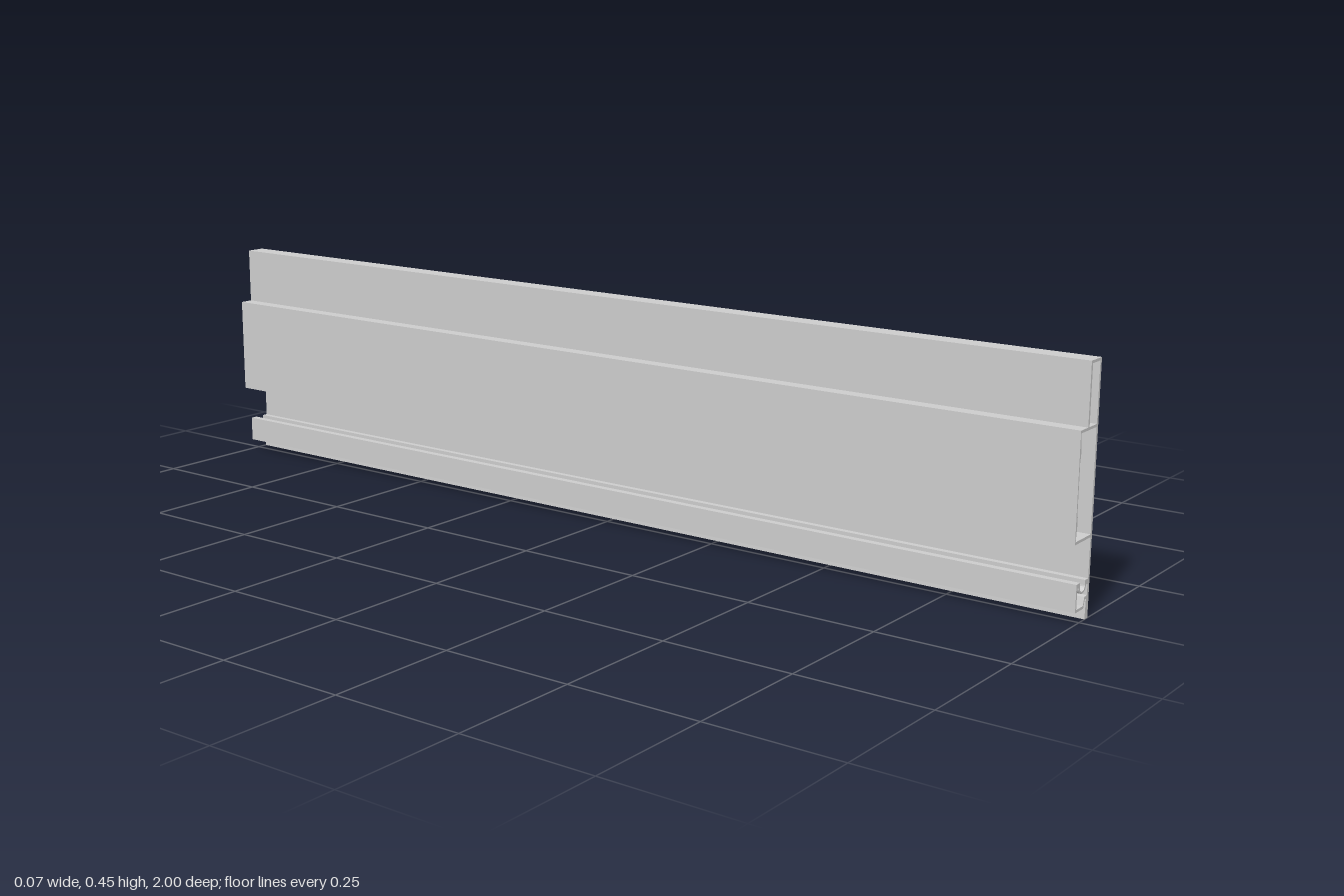
import * as THREE from 'three';

const LENGTH = 2;
const toPoints = (list) => list.map(([x, y]) => new THREE.Vector2(x, y));

// Points along a shallow U, from left rim to right rim
function trough(cx, rimY, halfWidth, depth, steps = 10) {
  const pts = [];
  for (let i = 0; i <= steps; i++) {
    const a = Math.PI * (1 - i / steps);
    pts.push([cx + halfWidth * Math.cos(a), rimY - depth * Math.sin(a)]);
  }
  return pts;
}

export function createModel() {
  const group = new THREE.Group();
  group.name = 'extrudedRail';

  // Outer contour: face plate, upper box, wide box, grooved clip and foot
  const profile = new THREE.Shape(toPoints([
    [0.033, 0], [0.033, 0.45], [-0.006, 0.45], [-0.006, 0.338],
    [-0.033, 0.338], [-0.033, 0.143], [0.0275, 0.143], [0.0275, 0.071],
    [0.016, 0.071],
    ...trough(0.006, 0.062, 0.01, 0.009).reverse(),
    [-0.004, 0.071], [-0.018, 0.071], [-0.018, 0.021],
    [0.014, 0.021], [0.018, 0.036], [0.023, 0.036], [0.021, 0],
  ]));

  // Hollow chambers
  const upperChamber = [[-0.001, 0.338], [0.0275, 0.338], [0.0275, 0.445], [-0.001, 0.445]];

  // Wide chamber, its back wall thickened by a mirrored pair of ribs
  const midY = 0.2405;
  const ribs = [[-0.031, 0.0925], [-0.028, 0.068], [-0.028, 0.05], [-0.03, 0.047]];
  const wideChamber = [
    ...ribs.map(([x, d]) => [x, midY + d]),
    ...ribs.map(([x, d]) => [x, midY - d]).reverse(),
    [0.0275, 0.148], [0.0275, 0.333],
  ];

  const clipChamber = [
    [-0.014, 0.064],
    ...trough(0.006, 0.062, 0.014, 0.0125),
    [0.026, 0.062], [0.026, 0.042], [0.016, 0.041], [0.012, 0.026], [-0.014, 0.026],
  ];

  for (const chamber of [upperChamber, wideChamber, clipChamber]) {
    profile.holes.push(new THREE.Path(toPoints(chamber)));
  }

  const geometry = new THREE.ExtrudeGeometry(profile, { depth: LENGTH, bevelEnabled: false });
  geometry.translate(0, 0, -LENGTH / 2);

  const rail = new THREE.Mesh(geometry, new THREE.MeshStandardMaterial({ color: 0xcccccc }));
  rail.name = 'railProfile';
  group.add(rail);
  return group;
}
